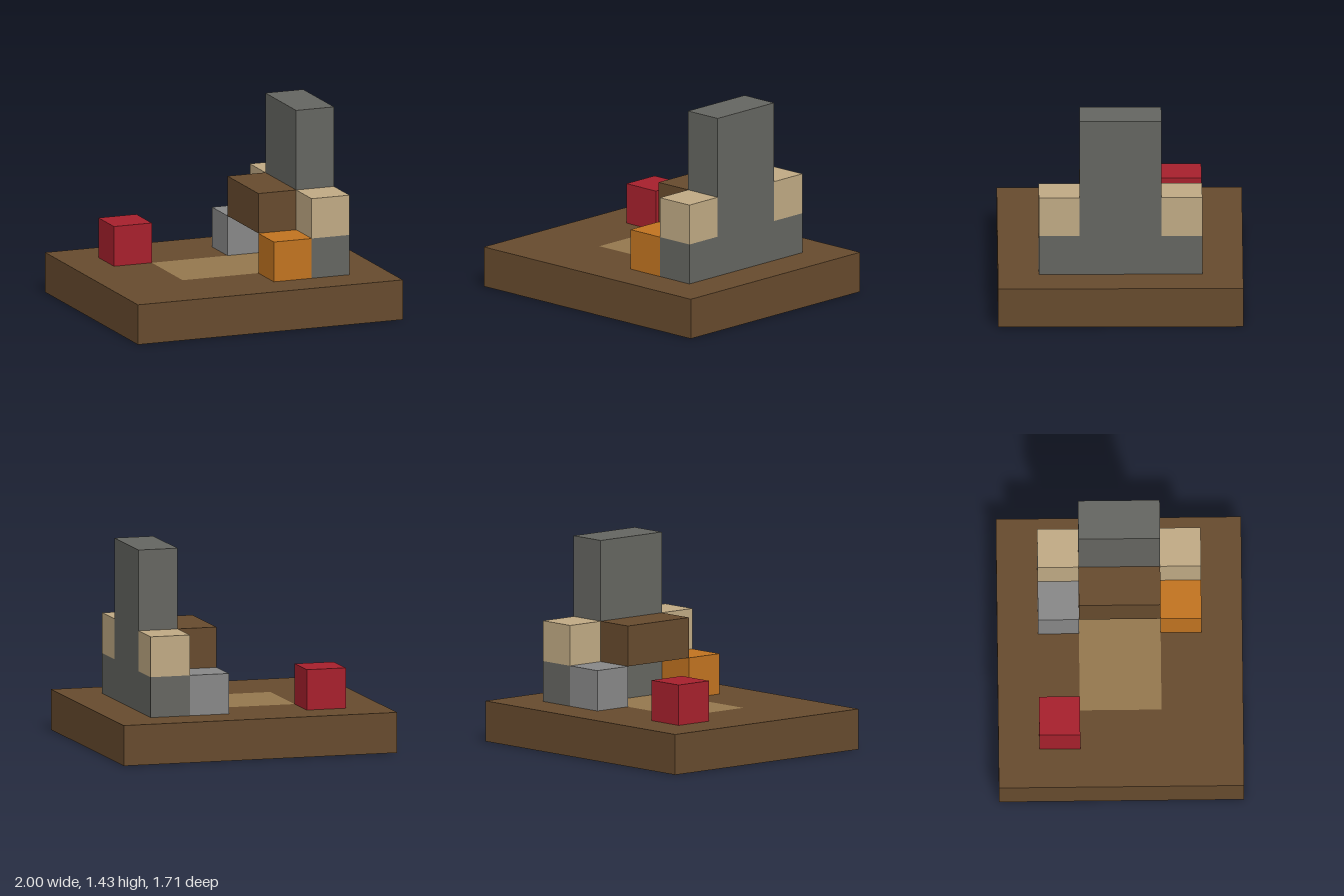
import * as THREE from 'three';

const U = 2 / 7; // one block

const paint = (name, color) => {
  const m = new THREE.MeshStandardMaterial({ color });
  m.name = name;
  return m;
};

export function createModel() {
  const group = new THREE.Group();
  const wood = paint('brown wood', 0x664a2d);
  const stone = paint('dark stone', 0x646560);
  const sand = paint('pale sand', 0xbfa983);
  const inlay = paint('worn tan', 0x93774d);
  const orange = paint('orange', 0xc07320);
  const red = paint('red', 0xa6202c);
  const grey = paint('light grey', 0x878787);

  // Box given by its first block and its size, counted from the left back corner
  const block = (name, material, [x, y, z], [w, h, d]) => {
    const mesh = new THREE.Mesh(new THREE.BoxGeometry(w * U, h * U, d * U), material);
    mesh.position.set((x + w / 2 - 3.5) * U, (y + h / 2) * U, (z + d / 2 - 3) * U);
    mesh.name = name;
    group.add(mesh);
  };

  // Base slab with a rectangular opening for the floor inlay and the tower foot
  const rect = (path, x0, x1, z) => path.moveTo(x0 * U, -z * U).lineTo(x1 * U, -z * U)
    .lineTo(x1 * U, z * U).lineTo(x0 * U, z * U).closePath();
  const outline = rect(new THREE.Shape(), -3.5, 3.5, 3);
  outline.holes.push(rect(new THREE.Path(), -1.5, 2.5, 1));
  const slab = new THREE.ExtrudeGeometry(outline, { depth: U, bevelEnabled: false });
  slab.rotateX(-Math.PI / 2);
  const base = new THREE.Mesh(slab, wood);
  base.name = 'base';
  group.add(base);
  block('floorInlay', inlay, [2, 0, 2], [3, 1, 2]);

  // Tall back with a low stone footing and a sand block on either side
  block('tower', stone, [5, 0, 2], [1, 5, 2]);
  for (const [side, z] of [['right', 1], ['left', 4]]) {
    block(side + 'Footing', stone, [5, 1, z], [1, 1, 1]);
    block(side + 'SandBlock', sand, [5, 2, z], [1, 1, 1]);
  }

  // Raised ledge in front of the tower, open underneath
  block('ledge', wood, [4, 2, 2], [1, 1, 2]);

  // Single cubes
  block('greyCube', grey, [4, 1, 1], [1, 1, 1]);
  block('orangeCube', orange, [4, 1, 4], [1, 1, 1]);
  block('redCube', red, [1, 1, 1], [1, 1, 1]);

  return group;
}
